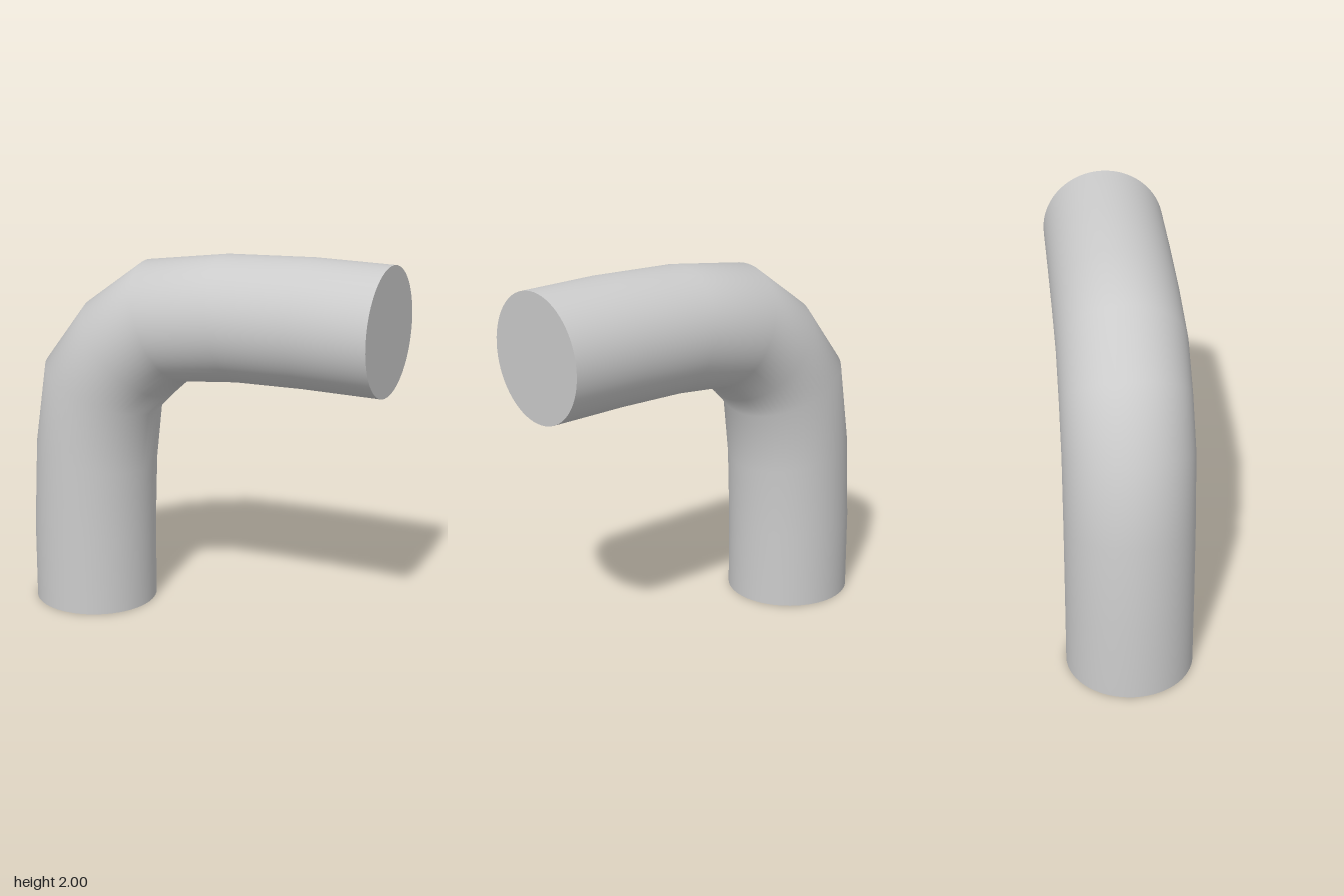
import * as THREE from 'three';

const RADIUS = 0.33;
const SIDES = 64;

// Ring ends on the outer and inner side of the bend: [outerX, outerY, innerX, innerY]
const lowerRings = [
  [-1, 0, -0.34, 0],
  [-1, 0.42, -0.34, 0.42],
  [-0.975, 0.9, -0.33, 0.78],
  [-0.907, 1.347, -0.297, 1.097],
];
const middleRing = [-0.668, 1.668, -0.2, 1.2];

// The upper arm mirrors the lower arm across the diagonal of the bend
const mirror = ([ox, oy, ix, iy]) => [1 - oy, 1 - ox, 1 - iy, 1 - ix];
const rings = [...lowerRings, middleRing, ...lowerRings.map(mirror).reverse()];

// Skin elliptical cross-sections into one smooth tube
function bentTube() {
  const positions = [];
  const indices = [];
  rings.forEach(([ox, oy, ix, iy], i) => {
    for (let j = 0; j < SIDES; j++) {
      const a = (j / SIDES) * Math.PI * 2;
      const t = (1 + Math.cos(a)) / 2;
      positions.push(ix + (ox - ix) * t, iy + (oy - iy) * t, RADIUS * Math.sin(a));
      if (i === rings.length - 1) continue;
      const k = (j + 1) % SIDES;
      const p = i * SIDES + j, q = i * SIDES + k;
      indices.push(p, q, q + SIDES, p, q + SIDES, p + SIDES);
    }
  });
  const geometry = new THREE.BufferGeometry();
  geometry.setAttribute('position', new THREE.Float32BufferAttribute(positions, 3));
  geometry.setIndex(indices);
  geometry.computeVertexNormals();
  return geometry;
}

export function createModel() {
  const model = new THREE.Group();
  model.name = 'pipeElbow';
  const material = new THREE.MeshStandardMaterial({ color: 0xcccccc });

  const add = (name, geometry) => {
    const mesh = new THREE.Mesh(geometry, material);
    mesh.name = name;
    model.add(mesh);
    return mesh;
  };

  add('bentPipe', bentTube());

  // Flat end caps
  const cap = new THREE.CircleGeometry(RADIUS, SIDES);
  const bottom = add('bottomCap', cap);
  bottom.position.set(-0.67, 0, 0);
  bottom.rotation.x = Math.PI / 2;
  const side = add('sideCap', cap);
  side.position.set(1, 1.67, 0);
  side.rotation.y = Math.PI / 2;

  return model;
}
